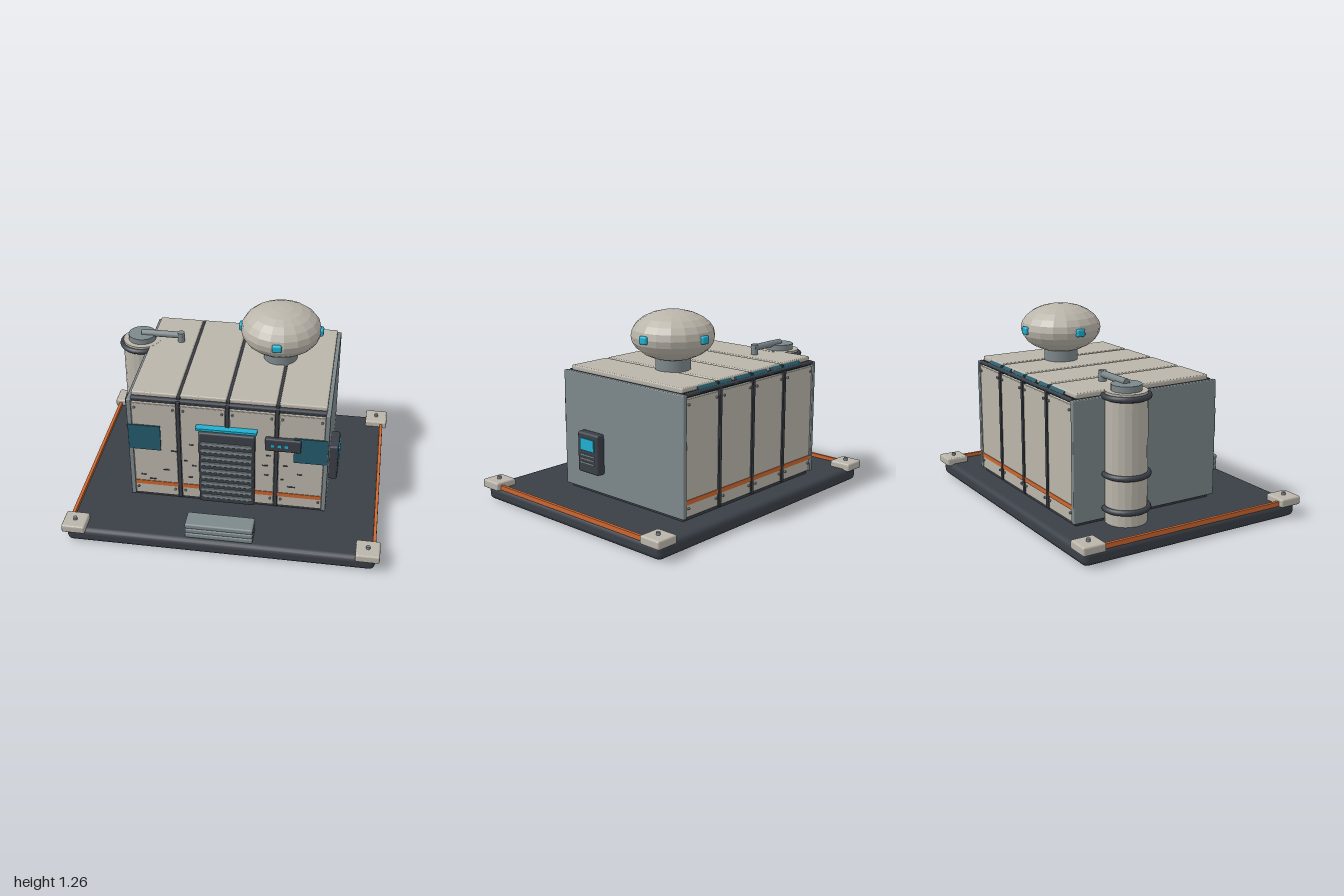
import * as THREE from 'three';
import { RoundedBoxGeometry } from 'three/addons/geometries/RoundedBoxGeometry.js';

const mat = (name, color, flatShading = false) => {
  const m = new THREE.MeshStandardMaterial({ color, flatShading });
  m.name = name;
  return m;
};

export function createModel() {
  const root = new THREE.Group();
  root.name = 'fieldShelter';
  const cream = mat('creamPanel', 0xbab5aa, true);
  const grey = mat('greyMetal', 0x7d888c);
  const dark = mat('darkMetal', 0x3a3f47);
  const orange = mat('orangeTrim', 0xcc6630);
  const cyan = mat('cyanLight', 0x20b0d0);
  const glass = mat('tealGlass', 0x245a6a);

  const add = (name, geo, material, x, y, z, parent = root) => {
    const m = new THREE.Mesh(geo, material);
    m.name = name;
    m.position.set(x, y, z);
    parent.add(m);
    return m;
  };
  // box given by its min and max corners, optionally rounded
  const span = (name, material, x0, x1, y0, y1, z0, z1, r = 0, parent = root) => {
    const s = [x1 - x0, y1 - y0, z1 - z0];
    const g = r ? new RoundedBoxGeometry(...s, 2, r) : new THREE.BoxGeometry(...s);
    return add(name, g, material, (x0 + x1) / 2, (y0 + y1) / 2, (z0 + z1) / 2, parent);
  };
  const cyl = (name, material, r, h, x, y, z, seg = 20, parent = root) =>
    add(name, new THREE.CylinderGeometry(r, r, h, seg), material, x, y, z, parent);

  // ground slab, corner pads and side rails
  span('baseSlab', dark, -0.975, 0.975, 0.005, 0.1, -0.768, 0.768, 0.035);
  for (const sx of [-1, 1]) {
    for (const sz of [-1, 1]) {
      add('cornerPad', new RoundedBoxGeometry(0.15, 0.055, 0.15, 2, 0.012), cream, sx * 0.925, 0.112, sz * 0.712);
      cyl('padBolt', grey, 0.013, 0.02, sx * 0.925, 0.147, sz * 0.712, 8);
    }
    add('sideRail', new THREE.BoxGeometry(0.02, 0.03, 1.29), orange, sx * 0.962, 0.106, 0);
  }

  // shelter core and side walls
  const hut = new THREE.Group();
  hut.name = 'shelter';
  root.add(hut);
  span('core', dark, -0.61, 0.61, 0.1, 0.872, -0.61, 0.35, 0, hut);
  for (const sx of [-1, 1]) {
    add('sideWall', new RoundedBoxGeometry(0.03, 0.745, 1.018, 2, 0.006), grey, sx * 0.621, 0.4925, -0.128, hut);
  }

  // front and back cladding, roof panels
  const pitch = 0.31;
  for (let i = 0; i < 4; i++) {
    const x = (i - 1.5) * pitch;
    const a = x - 0.142, b = x + 0.142;
    span('roofPanel', cream, x - 0.147, x + 0.147, 0.865, 0.899, -0.605, 0.335, 0.01, hut);
    for (const [z0, z1, s] of [[0.345, 0.37, 1], [-0.63, -0.605, -1]]) {
      const face = s > 0 ? z1 : z0;
      span('wallPanel', cream, a, b, 0.125, 0.838, z0, z1, 0.005, hut);
      span('orangeStripe', orange, a, b, 0.203, 0.232, face - 0.004, face + 0.004, 0, hut);
      for (const bx of [a + 0.02, b - 0.02]) for (const by of [0.18, 0.805]) {
        cyl('panelBolt', grey, 0.008, 0.012, bx, by, face + s * 0.003, 8, hut).rotation.x = Math.PI / 2;
      }
    }
  }
  for (const x of [-pitch, 0, pitch]) {
    span('frontRib', dark, x - 0.013, x + 0.013, 0.12, 0.865, 0.34, 0.378, 0.005, hut);
    span('backRib', dark, x - 0.013, x + 0.013, 0.12, 0.865, -0.638, -0.6, 0.005, hut);
    span('roofRib', dark, x - 0.012, x + 0.012, 0.86, 0.888, -0.62, 0.35, 0.004, hut);
  }
  for (const z of [0.345, -0.622]) {
    const beam = cyl('eaveBeam', dark, 0.014, 1.22, 0, 0.86, z, 10, hut);
    beam.rotation.z = Math.PI / 2;
  }
  // tilted glass strips along the rear eave
  for (const x of [-0.34, 0, 0.34]) {
    const strip = add('rearSkylight', new THREE.BoxGeometry(0.3, 0.05, 0.009), glass, x, 0.872, -0.617, hut);
    strip.rotation.x = 0.8;
  }

  // front windows
  span('windowLeft', glass, 0.42, 0.63, 0.495, 0.68, 0.377, 0.386);
  span('windowRight', glass, -0.63, -0.425, 0.495, 0.68, 0.377, 0.386);

  // slatted door with light bar
  span('door', dark, -0.18, 0.177, 0.125, 0.672, 0.36, 0.402, 0.012);
  for (let i = 0; i < 9; i++) {
    const y = 0.592 - i * 0.052;
    span('doorSlat', grey, -0.165, 0.162, y - 0.013, y + 0.013, 0.395, 0.41, 0.004);
  }
  span('doorLight', cyan, -0.195, 0.19, 0.698, 0.714, 0.37, 0.416);

  // control panel beside the door
  span('controlPanel', dark, 0.24, 0.465, 0.578, 0.67, 0.365, 0.402, 0.01);
  for (let i = 0; i < 3; i++) {
    const x = 0.288 + i * 0.043;
    span('indicator', cyan, x - 0.01, x + 0.01, 0.615, 0.636, 0.4, 0.408);
  }

  // scuff marks on the front cladding: x, y, length
  const scuffs = [[-0.4, 0.333, 0.04], [-0.34, 0.487, 0.045], [-0.42, 0.226, 0.05], [-0.49, 0.25, 0.04],
    [-0.23, 0.55, 0.03], [-0.215, 0.385, 0.03], [-0.27, 0.42, 0.02], [-0.24, 0.29, 0.03], [-0.55, 0.28, 0.03],
    [0.24, 0.44, 0.04], [0.25, 0.365, 0.03], [0.37, 0.45, 0.03], [0.41, 0.285, 0.05], [0.35, 0.34, 0.02],
    [0.26, 0.52, 0.03], [0.46, 0.39, 0.03]];
  for (const [x, y, w] of scuffs) span('scuff', dark, x - w / 2, x + w / 2, y - 0.004, y + 0.004, 0.368, 0.374);

  // entry steps
  for (let i = 0; i < 3; i++) {
    span('step', grey, -0.215, 0.212, 0.1 + i * 0.036, 0.136 + i * 0.036, 0.61, 0.738, 0.011);
  }

  // terminal on the side wall
  span('terminal', dark, 0.63, 0.692, 0.25, 0.51, 0.025, 0.208, 0.014);
  span('terminalScreen', cyan, 0.69, 0.699, 0.398, 0.474, 0.056, 0.176);
  for (const y of [0.317, 0.342, 0.367]) span('terminalVent', grey, 0.689, 0.696, y - 0.004, y + 0.004, 0.054, 0.178);

  // roof dome on its neck, with four lights
  const dome = new THREE.Group();
  dome.name = 'roofDome';
  dome.position.set(0.263, 1.11, -0.207);
  root.add(dome);
  cyl('domeNeck', grey, 0.11, 0.16, 0, -0.145, 0, 20, dome);
  add('domeShell', new THREE.SphereGeometry(0.26, 18, 12), cream, 0, 0, 0, dome).scale.y = 0.6;
  for (let i = 0; i < 4; i++) {
    const a = i * Math.PI / 2;
    const light = add('domeLight', new RoundedBoxGeometry(0.06, 0.05, 0.035, 2, 0.012), cyan,
      Math.sin(a) * 0.255, 0, Math.cos(a) * 0.255, dome);
    light.rotation.y = a;
  }

  // storage tank with bands, cap and outlet pipe
  const tank = new THREE.Group();
  tank.name = 'tank';
  tank.position.set(-0.68, 0, -0.305);
  root.add(tank);
  cyl('tankBody', cream, 0.128, 0.8, 0, 0.5, 0, 20, tank);
  for (const y of [0.19, 0.4, 0.87]) {
    add('tankBand', new THREE.TorusGeometry(0.133, 0.018, 8, 28), dark, 0, y, 0, tank).rotation.x = Math.PI / 2;
  }
  span('tankStripe', orange, -0.03, 0.04, 0.12, 0.672, 0.124, 0.133, 0, tank);
  cyl('tankCap', grey, 0.092, 0.045, 0, 0.915, 0, 20, tank);
  cyl('pipeArm', grey, 0.022, 0.28, 0.138, 0.943, 0, 12, tank).rotation.z = Math.PI / 2;
  cyl('pipeDrop', grey, 0.024, 0.07, 0.265, 0.93, 0, 12, tank);

  return root;
}
